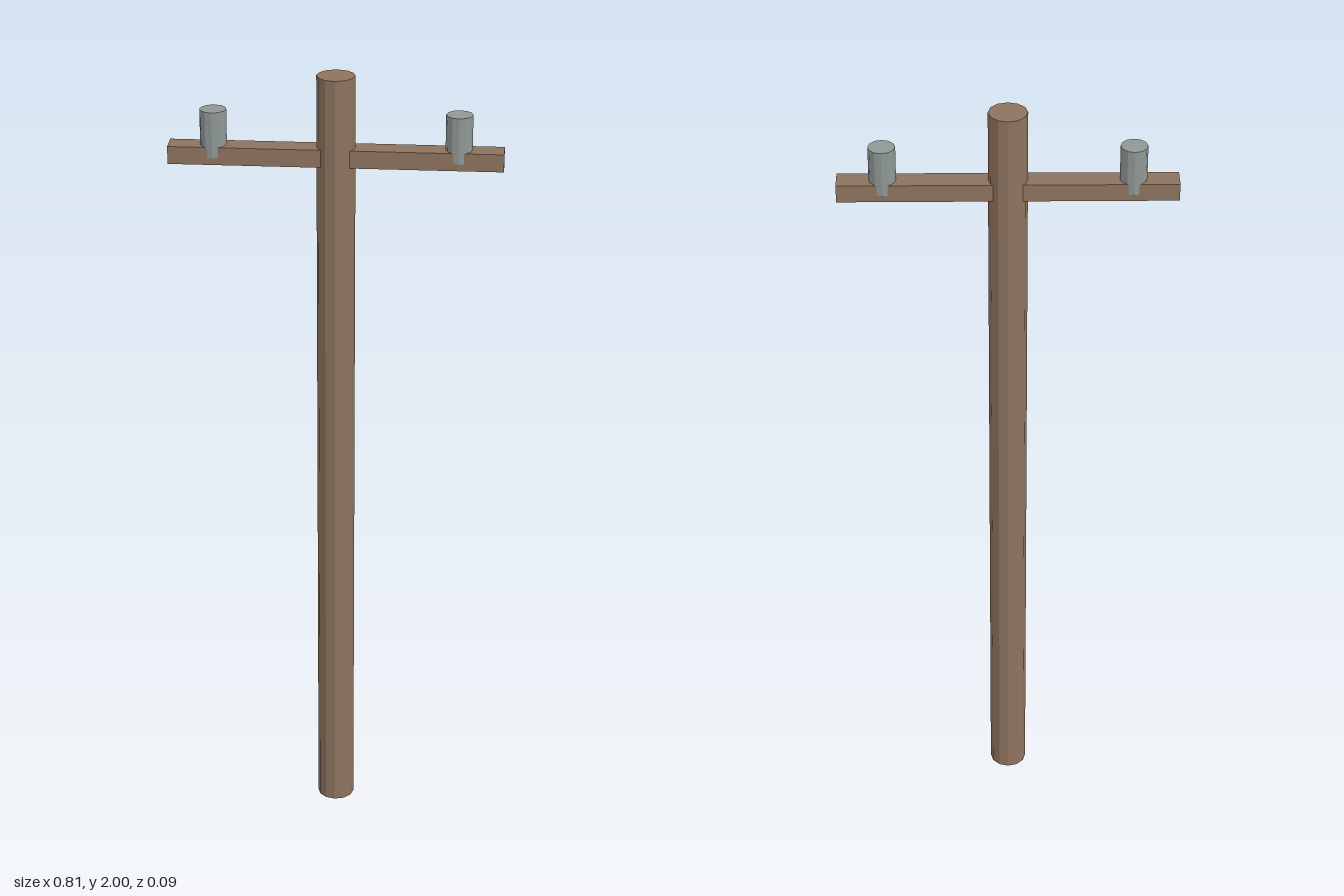
import * as THREE from 'three';

export function createModel() {
  const model = new THREE.Group();
  const wood = new THREE.MeshStandardMaterial({ color: 0x8e735e });
  wood.name = 'weathered wood';
  const ceramic = new THREE.MeshStandardMaterial({ color: 0x8f9894 });
  ceramic.name = 'grey ceramic';
  wood.flatShading = ceramic.flatShading = true;

  const add = (name, geometry, material, x, y) => {
    const mesh = new THREE.Mesh(geometry, material);
    mesh.name = name;
    mesh.position.set(x, y, 0);
    model.add(mesh);
  };

  // Upright pole
  add('pole', new THREE.CylinderGeometry(0.047, 0.047, 2, 12), wood, 0, 1);

  // Crossarm running through the pole
  add('crossarm', new THREE.BoxGeometry(0.81, 0.044, 0.058), wood, 0, 1.8);

  // Insulators sunk halfway into the arm, one on each side
  const insulator = new THREE.CylinderGeometry(0.0325, 0.0325, 0.115, 12);
  for (const side of [-1, 1]) {
    add(side > 0 ? 'leftInsulator' : 'rightInsulator', insulator, ceramic, side * 0.296, 1.8525);
  }
  return model;
}
